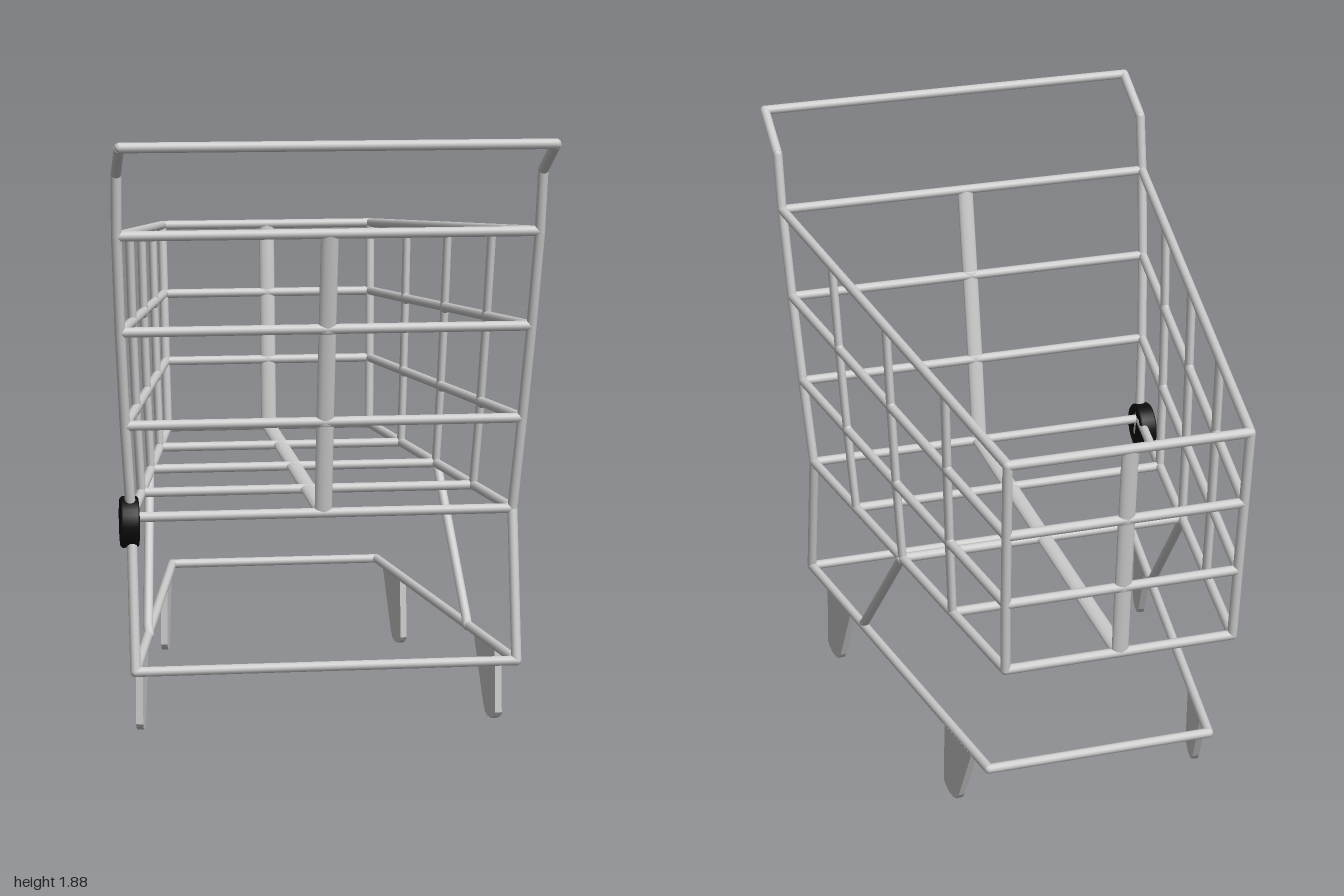
import * as THREE from 'three';

const grey = new THREE.MeshStandardMaterial({ color: 0xcccccc });
const black = new THREE.MeshStandardMaterial({ color: 0x0c0c0c });
const R = 0.0155;
const V = (x, y, z) => new THREE.Vector3(x, y, z);
const mirror = (p) => V(-p.x, p.y, p.z);

function add(parent, geometry, name, material = grey) {
  const mesh = new THREE.Mesh(geometry, material);
  mesh.name = name;
  parent.add(mesh);
  return mesh;
}

// Straight bar from a to b; wide is its half width along the hint direction
function bar(parent, name, a, b, wide = R, thin = R, hint = V(1, 0, 0)) {
  const dir = b.clone().sub(a);
  const length = dir.length();
  dir.normalize();
  if (Math.abs(dir.dot(hint)) > 0.9) hint = V(0, 1, 0);
  const side = hint.clone().addScaledVector(dir, -hint.dot(dir)).normalize();
  const geo = new THREE.CylinderGeometry(1, 1, length, 12);
  geo.scale(wide, 1, thin);
  const basis = new THREE.Matrix4().makeBasis(side, dir, side.clone().cross(dir));
  geo.applyMatrix4(basis.setPosition(a.clone().add(b).multiplyScalar(0.5)));
  return add(parent, geo, name);
}

// Rounded joint, optionally flattened into a fillet where bars cross
function joint(parent, p, rx = R, ry = R, rz = R) {
  const mesh = add(parent, new THREE.SphereGeometry(1, 12, 8), 'joint');
  mesh.scale.set(rx, ry, rz);
  mesh.position.copy(p);
}

// Bars through a run of points, with rounded joints
function run(parent, name, points, ...size) {
  points.forEach((p, i) => {
    joint(parent, p);
    if (i) bar(parent, name, points[i - 1], p, ...size);
  });
}

function group(parent, name) {
  const g = new THREE.Group();
  g.name = name;
  parent.add(g);
  return g;
}

export function createModel() {
  const cart = new THREE.Group();
  cart.name = 'shoppingCart';

  // Corners of the four basket levels, bottom to top, on the +x side
  const wideEnd = [V(0.592, 0.703, 0.625), V(0.611, 0.995, 0.667), V(0.626, 1.288, 0.718), V(0.637, 1.583, 0.772)];
  const narrowEnd = [V(0.364, 0.703, -0.917), V(0.368, 0.94, -0.937), V(0.371, 1.18, -0.96), V(0.374, 1.423, -0.984)];

  // Basket hoops
  const basket = group(cart, 'basket');
  wideEnd.forEach((w, i) => {
    const n = narrowEnd[i];
    run(basket, 'basketRail', [w, n, mirror(n), mirror(w), w]);
  });

  // Side uprights, each leaning slightly, with bottom crossbars
  const uprights = [[0.247, 0.338], [-0.14, -0.1], [-0.53, -0.546]];
  for (const [zBottom, zTop] of uprights) {
    const points = wideEnd.map((w, i) => {
      const z = THREE.MathUtils.lerp(zBottom, zTop, i / 3);
      return w.clone().lerp(narrowEnd[i], (w.z - z) / (w.z - narrowEnd[i].z));
    });
    for (const side of [points, points.map(mirror)]) {
      run(basket, 'sideUpright', side, 0.019, 0.014, V(0, 0, 1));
      side.slice(1, 3).forEach((p) => joint(basket, p, 0.016, 0.025, 0.028));
    }
    bar(basket, 'floorCrossbar', points[0], mirror(points[0]));
    joint(basket, V(0, points[0].y, points[0].z), 0.034, R, 0.024);
  }

  // Corner uprights at the narrow end
  for (const corner of [narrowEnd, narrowEnd.map(mirror)]) run(basket, 'cornerUpright', corner);

  // Wide centre strip: up both ends and along the floor
  const centre = (p) => V(0, p.y, p.z);
  const strip = [...wideEnd.map(centre).reverse(), ...narrowEnd.map(centre)];
  run(basket, 'centreStrip', strip, 0.027, 0.014);
  for (const i of [1, 2, 5, 6]) joint(basket, strip[i], 0.034, 0.024, R);

  // Posts and push handle
  const frame = group(cart, 'frame');
  const lowRear = V(0.59, 0.243, 0.73);
  const lowFront = V(0.366, 0.243, -0.737);
  const post = [lowRear, ...wideEnd, V(0.638, 1.77, 0.803), V(0.638, 1.862, 0.984)];
  for (const p of [post, post.map(mirror)]) run(frame, 'post', p, 0.016, 0.016);
  bar(frame, 'handle', post[6], mirror(post[6]));

  // Lower frame
  run(frame, 'lowerFrame', [lowRear, lowFront, mirror(lowFront), mirror(lowRear), lowRear]);

  // Diagonal struts
  const strut = [V(0.483, 0.7, -0.14), V(0.518, 0.265, 0.245), V(0.517, 0.243, 0.275)];
  for (const p of [strut, strut.map(mirror)]) run(frame, 'strut', p);

  // Thin tapered feet in line with the lower frame, profile in (length, y)
  const foot = new THREE.Shape([
    [0.1, 0.24], [0.113, 0.03], [0.103, 0.016], [0.075, 0.002], [0.04, 0],
    [0.015, 0.008], [-0.003, 0.03], [-0.105, 0.24],
  ].map(([z, y]) => new THREE.Vector2(-z, y)));
  const footGeo = new THREE.ExtrudeGeometry(foot, { depth: 0.022, bevelEnabled: false });
  footGeo.translate(0, 0, -0.011).rotateY(Math.PI / 2);
  const splay = Math.atan2(lowRear.x - lowFront.x, lowRear.z - lowFront.z);
  for (const s of [1, -1]) {
    for (const [name, x, z] of [['rearFoot', 0.551, 0.45], ['frontFoot', 0.401, -0.535]]) {
      const mesh = add(cart, footGeo, name);
      mesh.position.set(s * x, 0, z);
      mesh.rotation.y = s * splay;
    }
  }

  // Black knob with dished faces on one lower basket corner
  const profile = [[0, 0.019], [0.052, 0.019], [0.056, 0.028], [0.074, 0.028], [0.079, 0.022]];
  const points = [...profile.map(([r, h]) => new THREE.Vector2(r, -h)),
    ...profile.slice().reverse().map(([r, h]) => new THREE.Vector2(r, h))];
  const knob = add(cart, new THREE.LatheGeometry(points, 28), 'cornerKnob', black);
  knob.rotation.z = Math.PI / 2;
  knob.position.set(-0.597, 0.685, 0.605);

  return cart;
}
